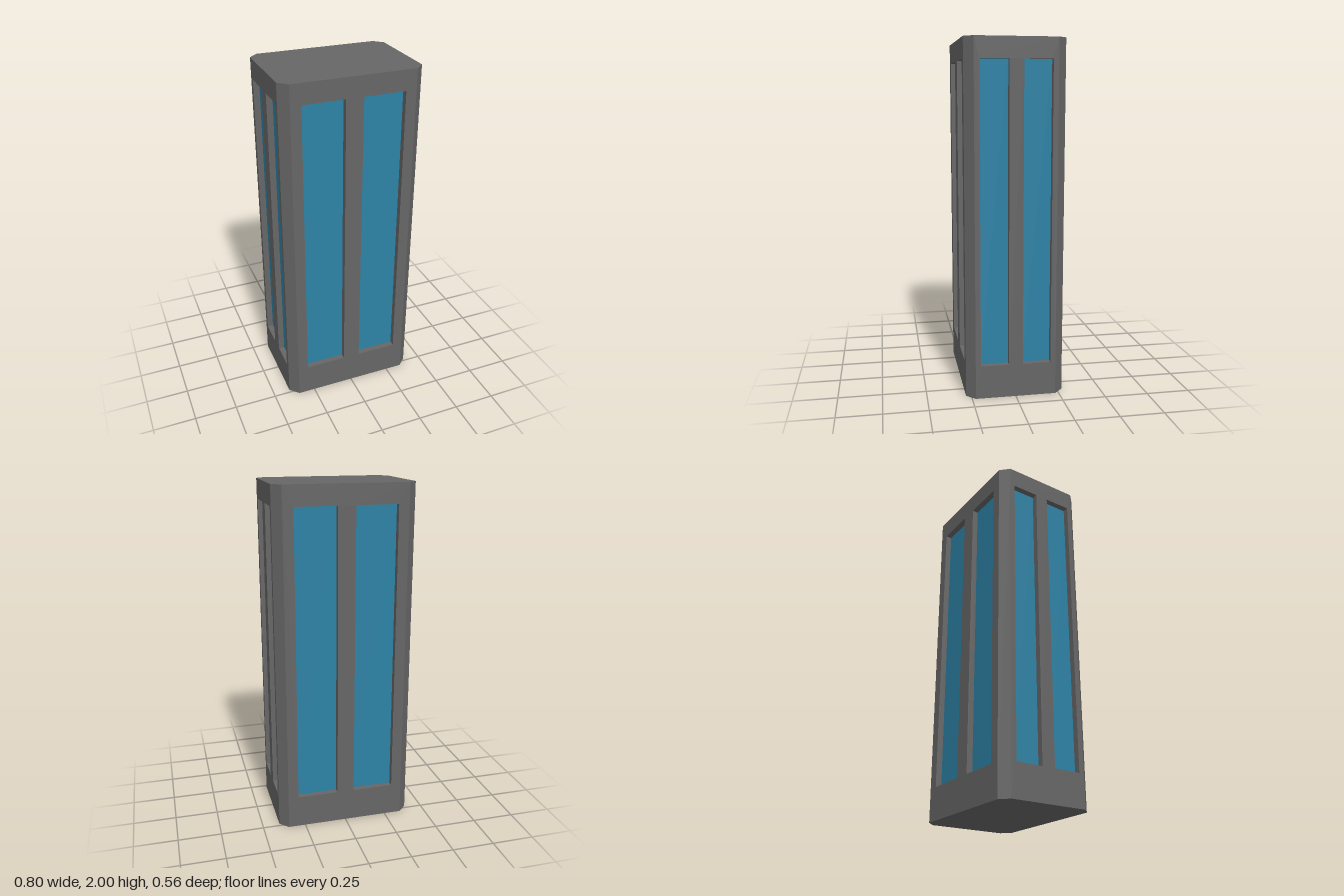
import * as THREE from 'three';
import { mergeGeometries } from 'three/addons/utils/BufferGeometryUtils.js';

const HEIGHT = 2, HALF_X = 0.4, HALF_Z = 0.28, CHAMFER = 0.05;
const SILL = 0.19, HEAD = 1.885, RECESS = 0.035;
const Q = Math.PI / 2;

const polygon = (points) => new THREE.Shape(points.map(([x, y]) => new THREE.Vector2(x, y)));
const rectangle = (x0, x1, y0, y1) => [[x0, y0], [x1, y0], [x1, y1], [x0, y1]];

// Wall facing +z with two window openings and their reveals
function wallGeometry(halfWidth, openings, distance) {
  const shape = polygon(rectangle(-halfWidth, halfWidth, 0, HEIGHT));
  const parts = [];
  const h = HEAD - SILL, midY = (HEAD + SILL) / 2, midZ = -RECESS / 2;
  for (const [x0, x1] of openings) {
    const w = x1 - x0, midX = (x0 + x1) / 2;
    shape.holes.push(polygon(rectangle(x0, x1, SILL, HEAD)));
    parts.push(
      new THREE.PlaneGeometry(RECESS, h).rotateY(Q).translate(x0, midY, midZ),
      new THREE.PlaneGeometry(RECESS, h).rotateY(-Q).translate(x1, midY, midZ),
      new THREE.PlaneGeometry(w, RECESS).rotateX(-Q).translate(midX, SILL, midZ),
      new THREE.PlaneGeometry(w, RECESS).rotateX(Q).translate(midX, HEAD, midZ),
    );
  }
  parts.push(new THREE.ShapeGeometry(shape));
  return mergeGeometries(parts).translate(0, 0, distance);
}

export function createModel() {
  const model = new THREE.Group();
  model.name = 'tower';
  const frameMaterial = new THREE.MeshStandardMaterial({ color: 0x666666 });
  const glassMaterial = new THREE.MeshStandardMaterial({ color: 0x2c82a5 });

  function add(name, geometry, material, parent = model) {
    const mesh = new THREE.Mesh(geometry, material);
    mesh.name = name;
    parent.add(mesh);
    return mesh;
  }

  // Four walls, each with two recessed panes
  ['front', 'left', 'back', 'right'].forEach((side, i) => {
    const wide = i % 2 === 0;
    const halfWidth = (wide ? HALF_X : HALF_Z) - CHAMFER;
    const distance = wide ? HALF_Z : HALF_X;
    const [near, far] = wide ? [0.05, 0.29] : [0.04, 0.2];
    const openings = [[-far, -near], [near, far]];
    const group = new THREE.Group();
    group.name = side + 'Side';
    group.rotation.y = i * Q;
    add(side + 'Wall', wallGeometry(halfWidth, openings, distance), frameMaterial, group);
    for (const [x0, x1] of openings) {
      const pane = add(side + 'Window', new THREE.PlaneGeometry(x1 - x0, HEAD - SILL), glassMaterial, group);
      pane.position.set((x0 + x1) / 2, (HEAD + SILL) / 2, distance - RECESS);
    }
    model.add(group);
  });

  // Bevelled corners
  for (const sx of [-1, 1]) {
    for (const sz of [-1, 1]) {
      const corner = add('cornerBevel', new THREE.PlaneGeometry(CHAMFER * Math.SQRT2, HEIGHT), frameMaterial);
      corner.position.set(sx * (HALF_X - CHAMFER / 2), HEIGHT / 2, sz * (HALF_Z - CHAMFER / 2));
      corner.rotation.y = Math.atan2(sx, sz);
    }
  }

  // Eight-sided roof and base
  const a = HALF_X, b = HALF_Z, c = CHAMFER;
  const outline = polygon([
    [a - c, -b], [a, c - b], [a, b - c], [a - c, b],
    [c - a, b], [-a, b - c], [-a, c - b], [c - a, -b],
  ]);
  add('roof', new THREE.ShapeGeometry(outline).rotateX(-Q).translate(0, HEIGHT, 0), frameMaterial);
  add('base', new THREE.ShapeGeometry(outline).rotateX(Q), frameMaterial);

  return model;
}
